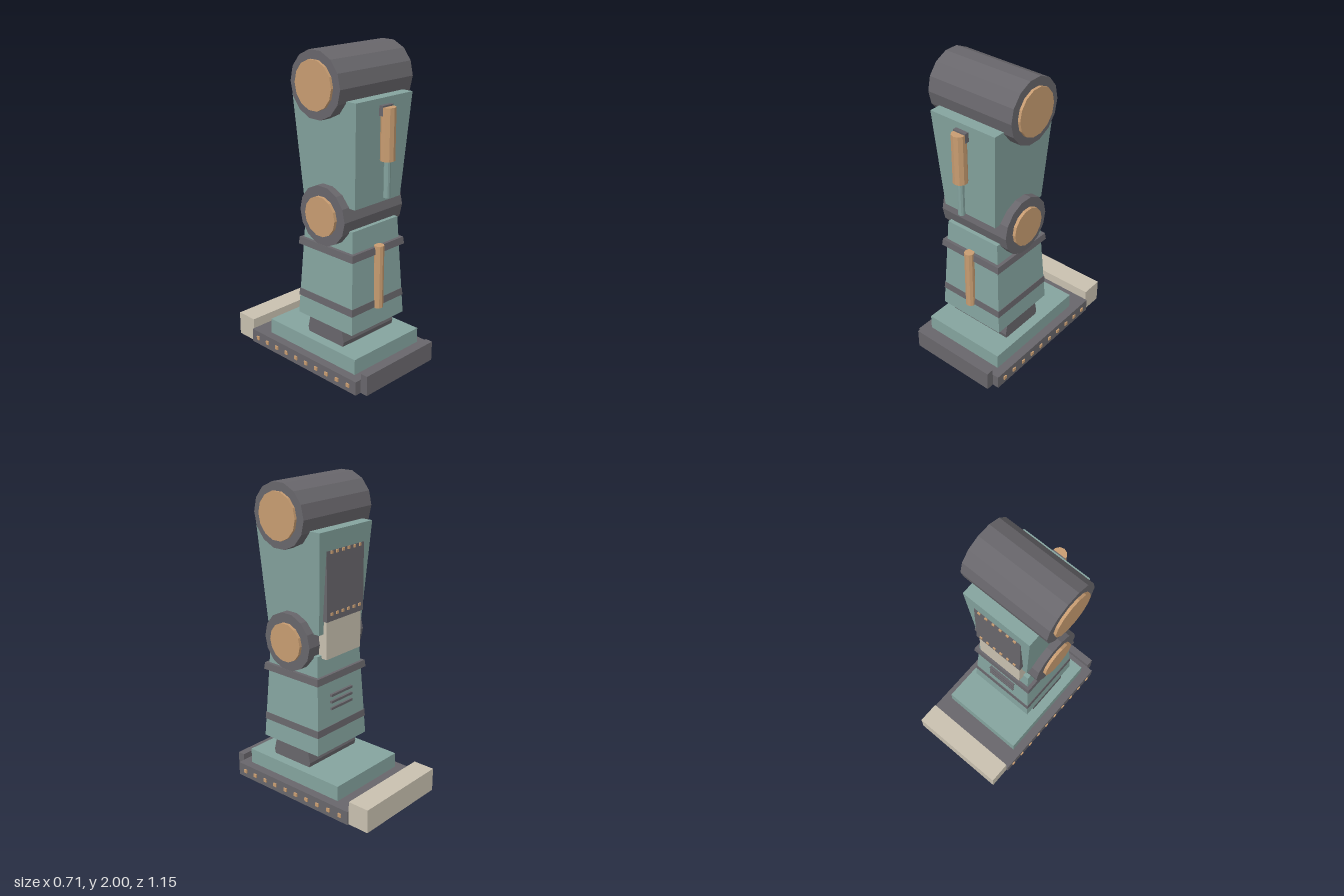
import * as THREE from 'three';

const material = (name, color) => {
  const m = new THREE.MeshStandardMaterial({ color });
  m.name = name;
  return m;
};

export function createModel() {
  const group = new THREE.Group();
  const teal = material('teal armour', 0x84a39e);
  const grey = material('dark grey metal', 0x68666b);
  const brass = material('brass', 0xc79c71);
  const beige = material('beige plate', 0xc8c0af);

  // Faceted mesh: every face gets its own flat normal
  const add = (name, geometry, mat, parent = group) => {
    const flat = geometry.toNonIndexed();
    flat.computeVertexNormals();
    const mesh = new THREE.Mesh(flat, mat);
    mesh.name = name;
    parent.add(mesh);
    return mesh;
  };

  // Box given by its limits; symmetric in x
  const box = (name, mat, halfX, y0, y1, z0, z1, parent) => {
    const g = new THREE.BoxGeometry(halfX * 2, y1 - y0, z1 - z0);
    g.translate(0, (y0 + y1) / 2, (z0 + z1) / 2);
    return add(name, g, mat, parent);
  };

  // Box whose bottom and top sections differ: section = [halfX, y, zBack, zFront]
  const taper = (name, mat, bottom, top) => {
    const g = new THREE.BoxGeometry(2, 2, 2);
    const p = g.attributes.position;
    for (let i = 0; i < p.count; i++) {
      const s = p.getY(i) > 0 ? top : bottom;
      p.setXYZ(i, p.getX(i) * s[0], s[1], p.getZ(i) > 0 ? s[3] : s[2]);
    }
    return add(name, g, mat);
  };

  // Cylinder lying across the leg
  const axle = (name, mat, r, halfX, y, z) => {
    const g = new THREE.CylinderGeometry(r, r, halfX * 2, 14);
    g.rotateZ(Math.PI / 2).translate(0, y, z);
    return add(name, g, mat);
  };

  // Upright cylinder
  const post = (name, mat, r, y0, y1, z) => {
    const g = new THREE.CylinderGeometry(r, r, y1 - y0, 10);
    g.translate(0, (y0 + y1) / 2, z);
    return add(name, g, mat);
  };

  // Foot
  box('sole', grey, 0.347, 0, 0.09, -0.427, 0.523);
  box('toe', grey, 0.303, 0, 0.13, 0.523, 0.573);
  box('heel', beige, 0.335, 0, 0.155, -0.573, -0.427);
  box('footTop', teal, 0.29, 0.09, 0.19, -0.3, 0.46);
  const soleRivets = new THREE.Group();
  soleRivets.name = 'soleRivets';
  group.add(soleRivets);
  for (let i = 0; i < 10; i++) {
    const z = -0.366 + i * 0.0917;
    for (const side of [-1, 1]) {
      const rivet = box('soleRivet', brass, 0.008, 0.033, 0.057, z - 0.012, z + 0.012, soleRivets);
      rivet.position.x = side * 0.347;
    }
  }
  axle('ankle', grey, 0.157, 0.225, 0.22, 0.146);

  // Shin with bands, front strut and rear vents
  taper('shin', teal, [0.234, 0.3, -0.088, 0.38], [0.197, 0.95, -0.056, 0.346]);
  taper('lowerBand', grey, [0.231, 0.42, -0.086, 0.377], [0.228, 0.467, -0.084, 0.374]);
  taper('upperBand', grey, [0.231, 0.77, -0.086, 0.378], [0.226, 0.815, -0.081, 0.373]);
  post('shinStrut', brass, 0.032, 0.417, 0.825, 0.378);
  for (const y of [0.58, 0.625, 0.67]) {
    box('shinVent', grey, 0.1, y - 0.008, y + 0.008, -0.086, -0.06);
  }

  // Knee
  axle('knee', grey, 0.188, 0.253, 1.015, 0.146);
  axle('kneeCaps', brass, 0.125, 0.273, 1.015, 0.146);
  box('kneeGuard', beige, 0.16, 0.93, 1.17, -0.096, -0.035);

  // Thigh
  taper('thigh', teal, [0.197, 1.09, -0.07, 0.362], [0.238, 1.73, -0.115, 0.403]);

  // Rear panel with two rows of rivets
  box('thighPanel', grey, 0.17, 1.175, 1.61, -0.108, -0.07);
  const panelRivets = new THREE.Group();
  panelRivets.name = 'panelRivets';
  group.add(panelRivets);
  for (let i = 0; i < 6; i++) {
    for (const y of [1.22, 1.6]) {
      const rivet = box('panelRivet', brass, 0.009, y - 0.009, y + 0.009, -0.116, -0.1, panelRivets);
      rivet.position.x = (i - 2.5) * 0.052;
    }
  }

  // Front piston of the thigh
  box('pistonBracket', grey, 0.045, 1.63, 1.69, 0.38, 0.427);
  post('pistonSleeve', brass, 0.045, 1.365, 1.68, 0.43);
  post('pistonRod', teal, 0.021, 1.14, 1.37, 0.43);

  // Hip
  axle('hip', grey, 0.2, 0.304, 1.805, 0.146);
  axle('hipCaps', brass, 0.147, 0.321, 1.805, 0.146);

  return group;
}
